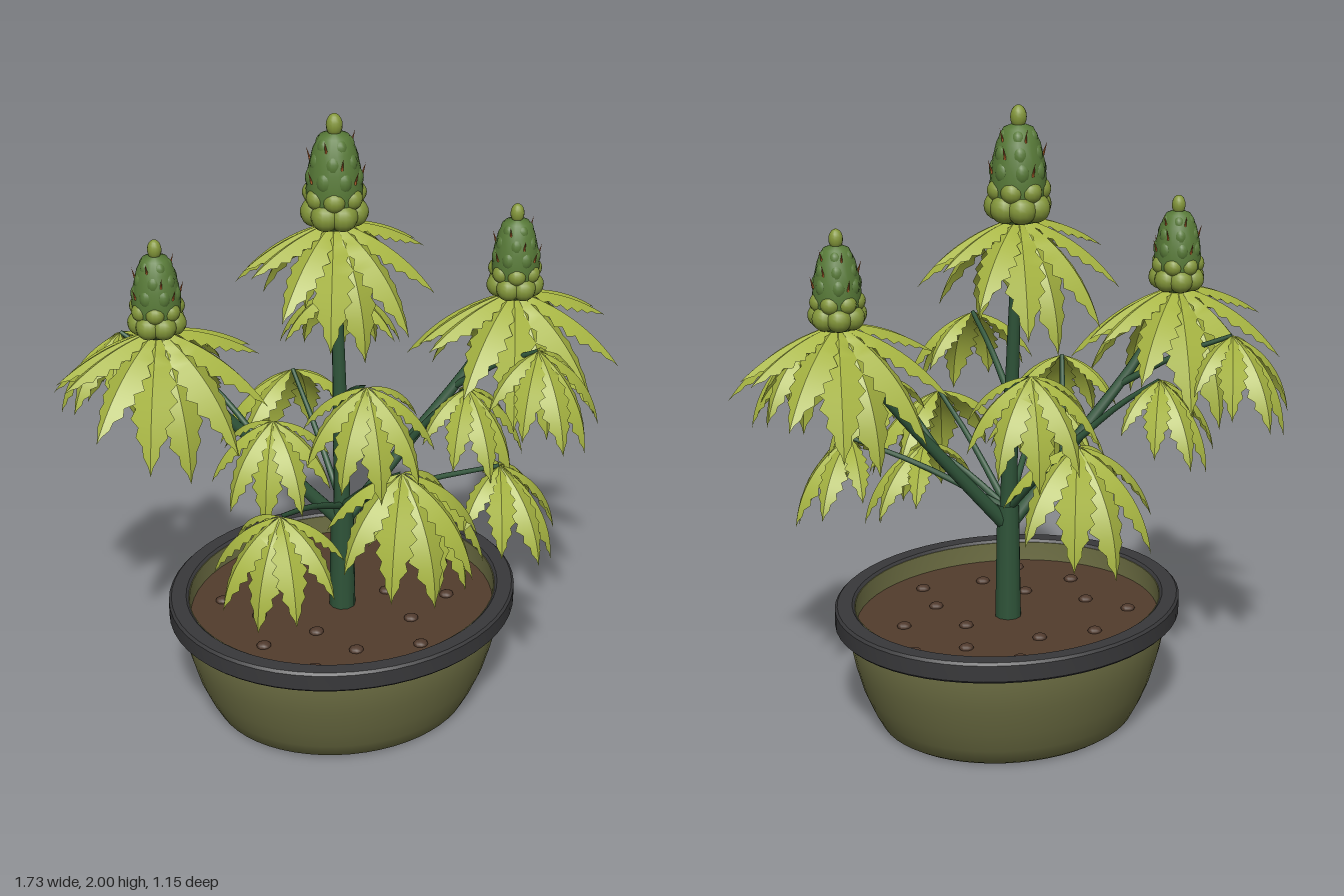
import * as THREE from 'three';
import { toCreasedNormals } from 'three/addons/utils/BufferGeometryUtils.js';

const material = (name, color, side = THREE.FrontSide) => {
  const m = new THREE.MeshStandardMaterial({ color, side });
  m.name = name;
  return m;
};
const V = (x, y, z) => new THREE.Vector3(x, y, z);
const rad = THREE.MathUtils.degToRad;
const lerp = THREE.MathUtils.lerp;

export function createModel() {
  const mats = {
    pot: material('olive pot', 0x6b6c42),
    rim: material('dark rim', 0x38383a),
    soil: material('soil brown', 0x523c2c),
    pebble: material('pebble brown', 0x503a2d),
    stem: material('stem green', 0x2f5439),
    leaf: material('leaf green', 0xa7b542, THREE.DoubleSide),
    bud: material('bud green', 0x587a38),
    calyx: material('calyx green', 0x83963a),
    hair: material('rust hairs', 0xb0602c),
  };
  const model = new THREE.Group();
  model.name = 'pottedPlant';
  const add = (parent, name, geometry, mat) => {
    const mesh = new THREE.Mesh(geometry, mat);
    mesh.name = name;
    parent.add(mesh);
    return mesh;
  };

  // Oval pot: hollow wall without a floor, thick rim, soil disc and pebbles
  const pot = new THREE.Group();
  pot.name = 'pot';
  pot.scale.z = 0.886;
  model.add(pot);
  const lathe = (points) =>
    toCreasedNormals(new THREE.LatheGeometry(points.map(([x, y]) => new THREE.Vector2(x, y)), 56), rad(35));
  add(pot, 'potWall', lathe([[0.41, 0], [0.425, 0.01], [0.452, 0.06], [0.482, 0.13], [0.508, 0.22], [0.535, 0.35],
    [0.52, 0.4], [0.503, 0.4], [0.5, 0.33], [0.485, 0.22], [0.46, 0.13], [0.43, 0.06], [0.41, 0]]), mats.pot);
  add(pot, 'potRim', lathe([[0.51, 0.34], [0.562, 0.34], [0.57, 0.348], [0.57, 0.4], [0.562, 0.408],
    [0.514, 0.408], [0.506, 0.4], [0.51, 0.34]]), mats.rim);
  const soil = add(pot, 'soil', new THREE.CylinderGeometry(0.502, 0.5, 0.02, 56), mats.soil);
  soil.position.y = 0.327;
  for (let i = 0; i < 16; i++) {
    const a = i * 2.4, r = 0.1 + 0.34 * Math.sqrt((i + 0.5) / 16);
    const pebble = add(pot, 'pebble', new THREE.SphereGeometry(0.024, 10, 6), mats.pebble);
    pebble.position.set(Math.cos(a) * r, 0.34, Math.sin(a) * r);
    pebble.scale.y = 0.55;
  }

  // Stems: tubes tapering from r0 to r1
  const stem = (name, points, r0, r1, segments = 12) => {
    const curve = new THREE.CatmullRomCurve3(points);
    const g = new THREE.TubeGeometry(curve, segments, 1, 10);
    const p = g.attributes.position, v = V(0, 0, 0);
    for (let i = 0; i < p.count; i++) {
      const t = Math.floor(i / 11) / segments;
      const c = curve.getPointAt(t);
      v.fromBufferAttribute(p, i).sub(c).multiplyScalar(lerp(r0, r1, t)).add(c);
      p.setXYZ(i, v.x, v.y, v.z);
    }
    add(model, name, g, mats.stem);
    return curve;
  };
  stem('trunk', [V(0, 0.32, 0), V(0, 0.5, 0), V(0, 0.72, 0)], 0.043, 0.036);
  const branches = {
    main: stem('mainStem', [V(0, 0.66, 0), V(0, 1.1, -0.02), V(0, 1.68, -0.055)], 0.028, 0.014),
    left: stem('leftBranch', [V(0, 0.64, 0), V(0.22, 0.9, 0.03), V(0.44, 1.18, 0.07), V(0.55, 1.4, 0.09)], 0.023, 0.013),
    right: stem('rightBranch', [V(0, 0.64, 0), V(-0.22, 0.9, -0.05), V(-0.44, 1.18, -0.11), V(-0.55, 1.4, -0.135)], 0.023, 0.013),
  };

  // Palmate leaf: folded, toothed leaflets that arch downwards
  const leaf = (name, base, yaw, length, spread, sideDroop) => {
    const positions = [], index = [];
    const rows = 17;
    for (let k = -3; k <= 3; k++) {
      const f = Math.abs(k) / 3, A = yaw + rad(k / 3 * spread);
      const len = length * [1, 0.94, 0.84, 0.7][Math.abs(k)];
      const forward = V(Math.sin(A), 0, Math.cos(A)), side = V(Math.cos(A), 0, -Math.sin(A));
      const start = positions.length / 3, c = base.clone();
      for (let i = 0; i < rows; i++) {
        const t = i / (rows - 1);
        const pitch = rad(lerp(lerp(28, 6, f), lerp(90, sideDroop, f), t));
        if (i) c.addScaledVector(forward, Math.cos(pitch) * len / (rows - 1)).y -= Math.sin(pitch) * len / (rows - 1);
        const tooth = i % 2 ? 0.78 : 1.1;
        const w = i % (rows - 1) ? len * 0.142 * Math.pow(Math.sin(Math.PI * Math.pow(t, 0.95)), 1.1) * tooth : 0;
        const normal = forward.clone().multiplyScalar(Math.sin(pitch)).setY(Math.cos(pitch));
        for (const s of [0, 1, -1]) {
          const q = c.clone().addScaledVector(side, s * w).addScaledVector(normal, -Math.abs(s) * w * 0.5);
          positions.push(q.x, q.y, q.z);
        }
        if (i) {
          const b = start + 3 * i, a = b - 3;
          index.push(a, b, a + 1, a + 1, b, b + 1, a, a + 2, b, a + 2, b + 2, b);
        }
      }
    }
    const g = new THREE.BufferGeometry();
    g.setAttribute('position', new THREE.Float32BufferAttribute(positions, 3));
    g.setIndex(index);
    add(model, name, toCreasedNormals(g, rad(25)), mats.leaf);
  };

  // Fan leaves on stalks: branch, attachment along it, leaf base, length
  const fans = [
    ['main', 0.04, V(0, 1.02, -0.37), 0.44],
    ['main', 0.04, V(0.02, 1.0, 0.37), 0.44],
    ['main', 0.04, V(-0.36, 0.92, 0.32), 0.37],
    ['main', 0.04, V(0.38, 0.92, 0.33), 0.37],
    ['main', 0.04, V(0.14, 0.87, 0.27), 0.37],
    ['main', 0.4, V(-0.06, 1.27, 0.29), 0.37],
    ['main', 0.4, V(0.17, 1.27, -0.37), 0.37],
    ['left', 0.6, V(0.52, 1.27, 0.3), 0.37],
    ['left', 0.35, V(0.33, 1.14, 0.2), 0.34],
    ['right', 0.6, V(-0.58, 1.27, -0.38), 0.37],
    ['right', 0.35, V(-0.37, 1.14, -0.29), 0.34],
    ['right', 0.3, V(-0.29, 1.13, 0.12), 0.34],
  ];
  for (const [branch, t, tip, length] of fans) {
    const root = branches[branch].getPointAt(t);
    const middle = root.clone().lerp(tip, 0.55);
    middle.y += 0.015;
    stem('leafStalk', [root, middle, tip], 0.012, 0.007, 6);
    leaf('fanLeaf', tip, Math.atan2(tip.x - root.x, tip.z - root.z), length, 112, 68);
  }

  // Buds: cone with rings of swollen calyxes, rust hairs and a tip
  const ball = new THREE.SphereGeometry(1, 14, 10);
  const bodyProfile = [[0, 0], [0.06, 0.01], [0.082, 0.06], [0.086, 0.13], [0.08, 0.19], [0.066, 0.25], [0.045, 0.293], [0, 0.312]];
  // count, height, ring radius, ball radius, stretch, material
  const rings = [
    [7, 0.055, 0.06, 0.045, 1, 'calyx'],
    [7, 0.108, 0.064, 0.035, 1, 'calyx'],
    [7, 0.165, 0.062, 0.027, 1.4, 'bud'],
    [6, 0.215, 0.052, 0.026, 1.4, 'bud'],
    [5, 0.262, 0.038, 0.023, 1.3, 'bud'],
  ];
  const bud = (name, x, y, z, scale) => {
    const g = new THREE.Group();
    g.name = name;
    g.position.set(x, y, z);
    g.scale.setScalar(scale);
    model.add(g);
    add(g, 'budCore', new THREE.LatheGeometry(bodyProfile.map(([r, h]) => new THREE.Vector2(r, h)), 20), mats.bud);
    rings.forEach(([n, h, r, size, stretch, mat], row) => {
      for (let i = 0; i < n; i++) {
        const a = (i + row / 2) / n * Math.PI * 2;
        const calyx = add(g, 'calyx', ball, mats[mat]);
        calyx.position.set(Math.sin(a) * r, h, Math.cos(a) * r);
        calyx.scale.set(size, size * stretch, size);
        if (row < 2 || i % 2) continue;
        const hair = add(g, 'hair', new THREE.ConeGeometry(0.0045, 0.045, 6), mats.hair);
        hair.position.set(Math.sin(a + 0.4) * (r + 0.027), h + 0.015, Math.cos(a + 0.4) * (r + 0.027));
        hair.rotation.set(0.3, a + 0.4, 0, 'YXZ');
      }
    });
    const tip = add(g, 'budTip', ball, mats.calyx);
    tip.position.y = 0.325;
    tip.scale.set(0.025, 0.036, 0.025);
  };

  // Each crown has a front and a back leaf under its bud
  const crowns = [
    ['mainBud', 0, 1.64, -0.055, 1, 0.46],
    ['leftBud', 0.55, 1.36, 0.09, 0.86, 0.5],
    ['rightBud', -0.55, 1.36, -0.135, 0.86, 0.5],
  ];
  for (const [name, x, y, z, scale, length] of crowns) {
    bud(name, x, y, z, scale);
    for (const turn of [0, Math.PI]) leaf('crownLeaf', V(x, y + 0.02, z), turn, length, 84, 38);
  }
  return model;
}
